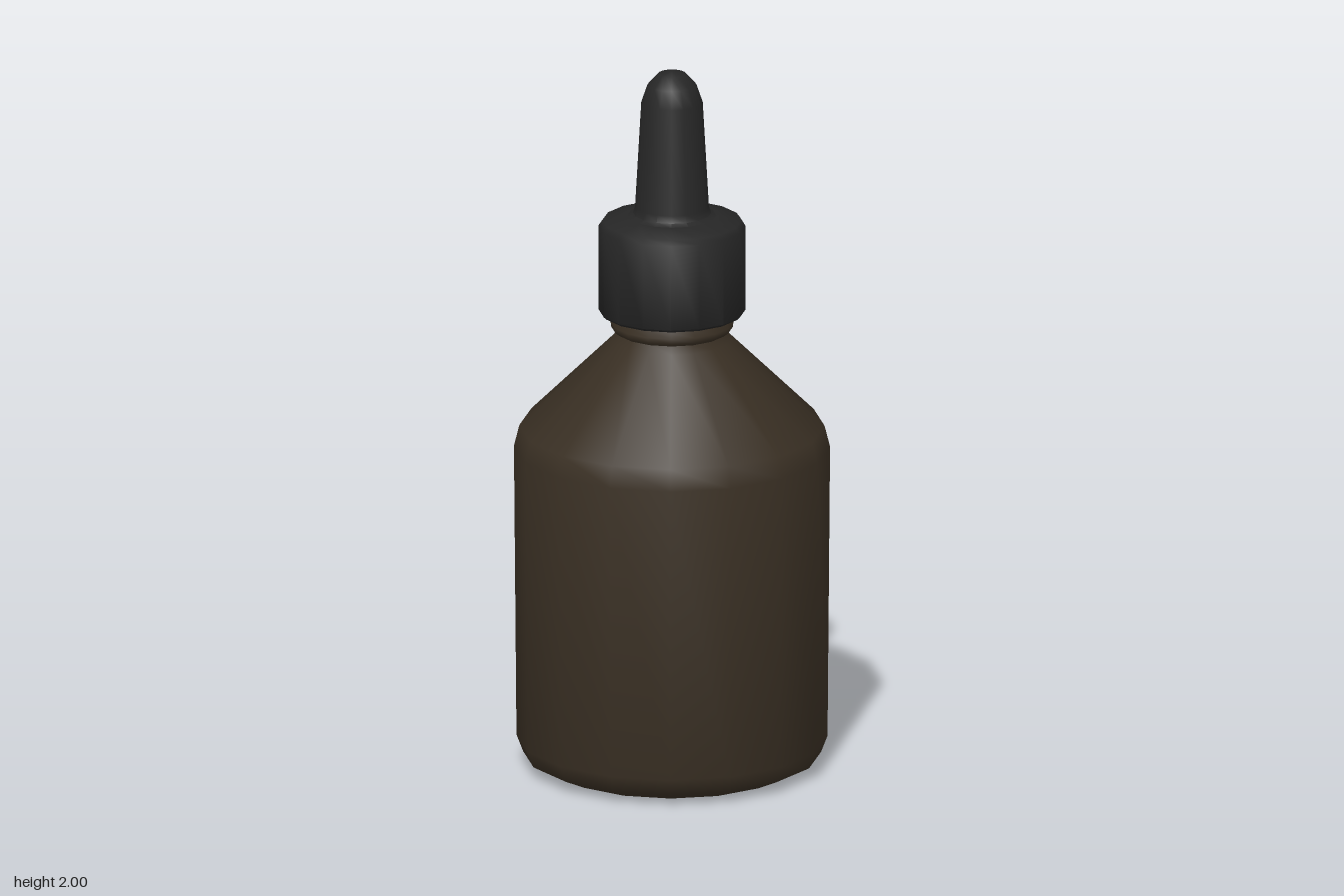
import * as THREE from 'three';
import { toCreasedNormals } from 'three/addons/utils/BufferGeometryUtils.js';

const SIDES = 16;

// Spins a bottom-to-top list of [radius, height] points around the y axis
function turned(name, profile, material) {
  const points = profile.map(([r, y]) => new THREE.Vector2(r, y));
  const geometry = toCreasedNormals(new THREE.LatheGeometry(points, SIDES), 0.85);
  const mesh = new THREE.Mesh(geometry, material);
  mesh.name = name;
  return mesh;
}

export function createModel() {
  const glass = new THREE.MeshStandardMaterial({ color: 0x3a3024 });
  glass.name = 'dark amber glass';
  const rubber = new THREE.MeshStandardMaterial({ color: 0x262626 });
  rubber.name = 'black rubber';

  const model = new THREE.Group();
  model.name = 'dropperBottle';

  // Bottle: rounded base, straight wall, sloped shoulder, neck with a bead
  model.add(turned('bottle', [
    [0, 0], [0.34, 0], [0.412, 0.033], [0.43, 0.08],
    [0.437, 0.915], [0.422, 0.975], [0.165, 1.228], [0.155, 1.25],
    [0.168, 1.26], [0.17, 1.275], [0.16, 1.29], [0.157, 1.32], [0, 1.32],
  ], glass));

  // Screw cap with a softened top edge
  model.add(turned('cap', [
    [0, 1.303], [0.196, 1.303], [0.203, 1.31], [0.203, 1.553],
    [0.192, 1.568], [0.125, 1.583], [0, 1.583],
  ], rubber));

  // Squeeze bulb: flared foot, tapered stem and domed tip
  model.add(turned('bulb', [
    [0.125, 1.582], [0.108, 1.59], [0.102, 1.61], [0.085, 1.91],
    [0.068, 1.96], [0.038, 1.992], [0, 2],
  ], rubber));

  return model;
}
